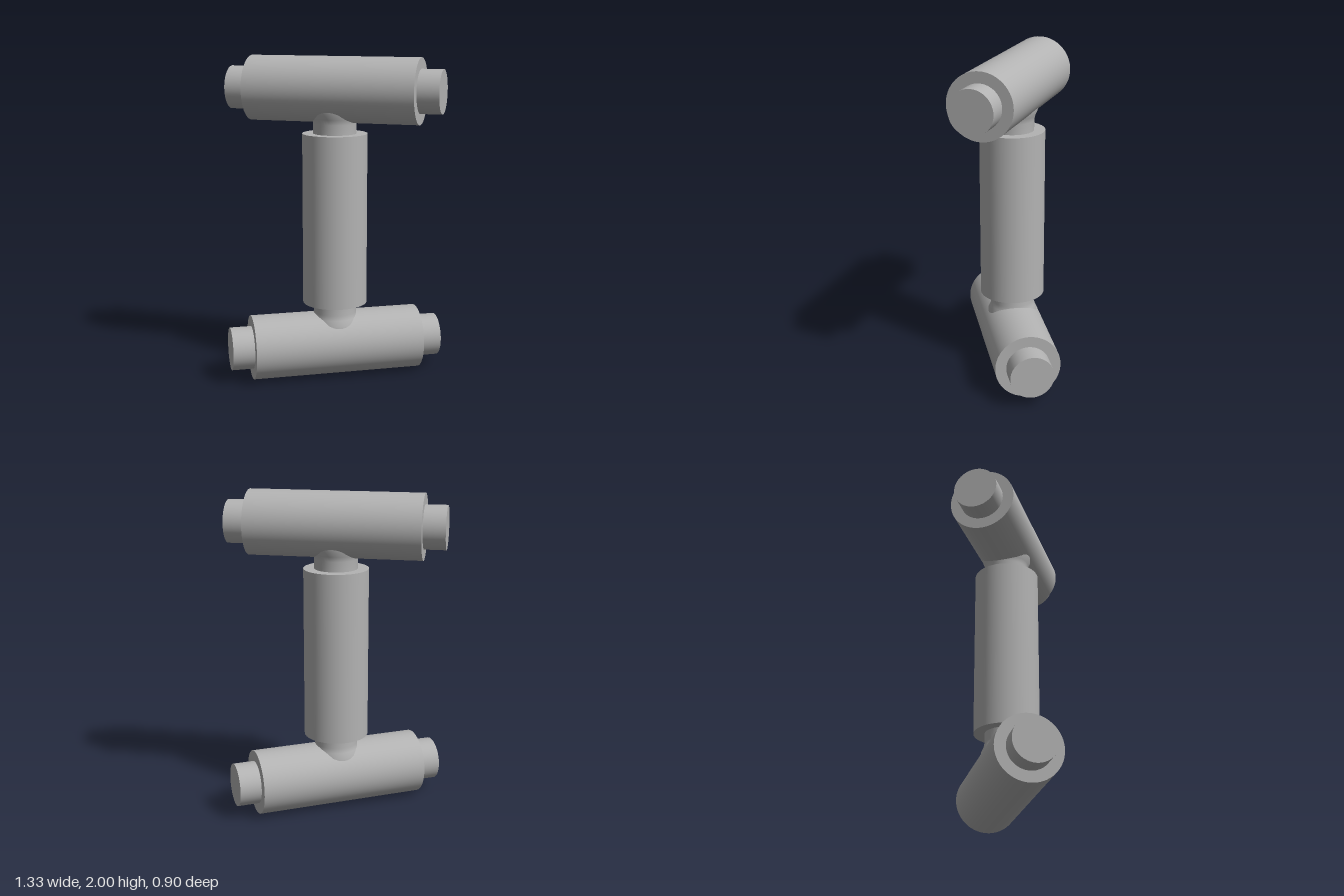
import * as THREE from 'three';

const R = 0.2, CORE = 0.133, HALF = 0.533, STUB_END = 0.667;

export function createModel() {
  const model = new THREE.Group();
  model.name = 'jointedTubes';
  const gray = new THREE.MeshStandardMaterial({ color: 0xb3b3b3 });
  gray.name = 'gray';

  const add = (parent, name, geometry) => {
    const mesh = new THREE.Mesh(geometry, gray);
    mesh.name = name;
    parent.add(mesh);
    return mesh;
  };

  // Horizontal tube along x with a narrower stub at each end
  const crossTube = (name, y, turn) => {
    const group = new THREE.Group();
    group.name = name;
    add(group, 'sleeve', new THREE.CylinderGeometry(R, R, HALF * 2, 64)).rotation.z = Math.PI / 2;
    for (const side of [-1, 1]) {
      const stub = add(group, side > 0 ? 'leftStub' : 'rightStub',
        new THREE.CylinderGeometry(CORE, CORE, STUB_END - HALF, 48));
      stub.rotation.z = -side * Math.PI / 2;
      stub.position.x = side * (HALF + STUB_END) / 2;
    }
    group.position.y = y;
    group.rotation.y = turn;
    model.add(group);
  };
  crossTube('topTube', 1.8, 0);
  crossTube('bottomTube', 0.2, Math.PI / 6);

  // Upright column between the two tubes
  add(model, 'column', new THREE.CylinderGeometry(R, R, HALF * 2, 64)).position.y = 1;

  // Necks with a small flare where they meet the cross tubes
  const profile = [[CORE, 0.53], [CORE, 0.595], [0.139, 0.625], [0.153, 0.655], [0.155, 0.69]]
    .map(([r, y]) => new THREE.Vector2(r, y));
  for (const side of [-1, 1]) {
    const neck = add(model, side > 0 ? 'topNeck' : 'bottomNeck', new THREE.LatheGeometry(profile, 48));
    neck.position.y = 1;
    if (side < 0) neck.rotation.x = Math.PI;
  }
  return model;
}
